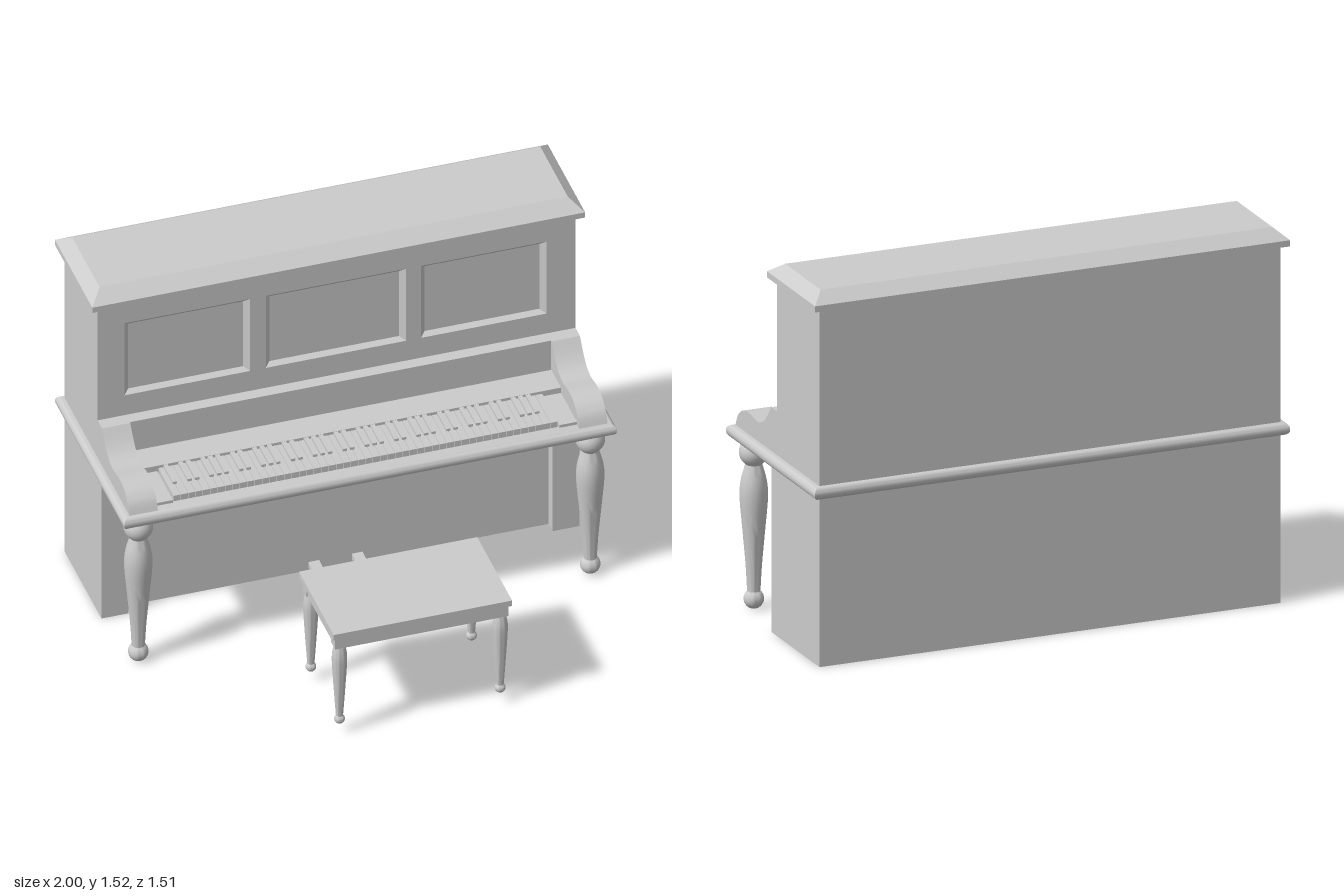
import * as THREE from 'three';
import { toCreasedNormals } from 'three/addons/utils/BufferGeometryUtils.js';

const grey = new THREE.MeshStandardMaterial({ color: 0xcccccc });

function add(parent, name, geometry) {
  const mesh = new THREE.Mesh(geometry, grey);
  mesh.name = name;
  parent.add(mesh);
  return mesh;
}

// Box given by its limits on each axis
function block(parent, name, x0, x1, y0, y1, z0, z1) {
  const mesh = add(parent, name, new THREE.BoxGeometry(x1 - x0, y1 - y0, z1 - z0));
  mesh.position.set((x0 + x1) / 2, (y0 + y1) / 2, (z0 + z1) / 2);
  return mesh;
}

function rectPath(x0, x1, y0, y1, path = new THREE.Shape()) {
  path.moveTo(x0, y0).lineTo(x1, y0).lineTo(x1, y1).lineTo(x0, y1);
  return path;
}

// Joins rectangles [x0, x1, y0, y1, z]; the last is capped, the first optionally
function loft(rings, capStart) {
  const pos = [];
  const loops = rings.map(([x0, x1, y0, y1, z]) => [[x0, y0, z], [x1, y0, z], [x1, y1, z], [x0, y1, z]]);
  const quad = (a, b, c, d) => pos.push(...a, ...b, ...c, ...a, ...c, ...d);
  for (let i = 0; i + 1 < loops.length; i++) {
    for (let k = 0; k < 4; k++) {
      const n = (k + 1) % 4;
      quad(loops[i][k], loops[i][n], loops[i + 1][n], loops[i + 1][k]);
    }
  }
  quad(...loops[loops.length - 1]);
  if (capStart) quad(...[...loops[0]].reverse());
  const geo = new THREE.BufferGeometry();
  geo.setAttribute('position', new THREE.Float32BufferAttribute(pos, 3));
  geo.computeVertexNormals();
  return geo;
}

// Turned leg: ball foot, swelling shaft, optional ball at the top
function turnedLeg(footR, footY, shaft, ballR, ballY) {
  const pts = [];
  const ball = (r, cy, a0, a1) => {
    for (let i = 0; i <= 10; i++) {
      const a = a0 + (a1 - a0) * i / 10;
      pts.push(new THREE.Vector2(r * Math.cos(a), cy + r * Math.sin(a)));
    }
  };
  ball(footR, footY, -Math.PI / 2, 0.9);
  const curve = new THREE.SplineCurve(shaft.map(([r, y]) => new THREE.Vector2(r, y)));
  pts.push(...curve.getPoints(20));
  if (ballR) ball(ballR, ballY, -0.93, 1.1);
  return toCreasedNormals(new THREE.LatheGeometry(pts, 28), 0.7);
}

function buildCase(piano) {
  // Lower case with side pilasters
  block(piano, 'lowerCase', -0.97, 0.97, 0, 0.7, -0.73, -0.32);
  for (const s of [-1, 1]) {
    const pilaster = block(piano, 'pilaster', -0.055, 0.055, 0, 0.7, -0.32, -0.27);
    pilaster.position.x = s * 0.915;
  }

  // Key bed with a rounded edge that runs around the whole case
  const r = 0.024;
  const bed = new THREE.ExtrudeGeometry(rectPath(-1 + r, 1 - r, -0.105 + r, 0.757 - r), {
    depth: 0.004, bevelSize: r, bevelThickness: r, bevelSegments: 5,
  });
  bed.rotateX(-Math.PI / 2).translate(0, 0.685 + r, 0);
  add(piano, 'keyBed', toCreasedNormals(bed, 0.5));

  // Upper case faced by a board with three bevelled recesses
  block(piano, 'upperCase', -0.97, 0.97, 0.73, 1.456, -0.73, -0.345);
  const board = rectPath(-0.97, 0.97, 0.73, 1.456);
  for (const [x0, x1] of [[-0.86, -0.35], [-0.287, 0.283], [0.343, 0.853]]) {
    board.holes.push(rectPath(x0, x1, 1.01, 1.355, new THREE.Path()));
    add(piano, 'recessedPanel', loft([
      [x0, x1, 1.01, 1.355, -0.32],
      [x0 + 0.022, x1 - 0.022, 1.022, 1.333, -0.343],
    ]));
  }
  const boardGeo = new THREE.ExtrudeGeometry(board, { depth: 0.025, bevelEnabled: false });
  add(piano, 'upperFrontBoard', boardGeo.translate(0, 0, -0.345));

  // Lid with chamfered top edges
  const lid = loft([
    [-1, 1, 0.292, 0.757, 1.456],
    [-1, 1, 0.292, 0.757, 1.481],
    [-0.95, 0.95, 0.355, 0.697, 1.524],
  ], true);
  add(piano, 'lid', lid.rotateX(-Math.PI / 2));
}

function buildKeyboard(piano) {
  block(piano, 'fallBoard', -0.856, 0.856, 0.73, 0.915, -0.32, -0.27);
  block(piano, 'keyShelf', -0.856, 0.856, 0.73, 0.775, -0.27, -0.148);
  for (const s of [-1, 1]) {
    block(piano, 'keyEndBlock', -0.036, 0.036, 0.73, 0.75, -0.148, 0.05).position.x = s * 0.82;
  }

  // 52 white keys, with black keys after C, D, F, G and A, starting at A
  const keys = new THREE.Group();
  keys.name = 'keys';
  piano.add(keys);
  const pitch = 0.03, start = -0.78;
  for (let i = 0; i < 52; i++) {
    const x = start + i * pitch;
    block(keys, 'whiteKey', x + 0.001, x + pitch - 0.001, 0.735, 0.763, -0.148, 0.042);
    if (i < 51 && [0, 1, 3, 4, 5].includes((i + 5) % 7)) {
      const c = x + pitch;
      block(keys, 'blackKey', c - 0.009, c + 0.009, 0.75, 0.774, -0.148, -0.03);
    }
  }

  // Curved cheeks at both ends of the keyboard
  const cheek = new THREE.Shape();
  cheek.moveTo(-0.32, 0.73).lineTo(0.083, 0.73);
  cheek.splineThru([[0.057, 0.782], [0.01, 0.816], [-0.05, 0.826], [-0.125, 0.815],
    [-0.175, 0.826], [-0.22, 0.86], [-0.265, 0.915]].map(([z, y]) => new THREE.Vector2(z, y)));
  cheek.lineTo(-0.32, 0.915);
  const geo = toCreasedNormals(new THREE.ExtrudeGeometry(cheek, {
    depth: 0.115, bevelEnabled: false, curveSegments: 5,
  }).rotateY(-Math.PI / 2), 0.5);
  add(piano, 'leftCheek', geo).position.x = 0.97;
  add(piano, 'rightCheek', geo).position.x = -0.855;
}

function buildLegsAndPedals(piano) {
  const leg = turnedLeg(0.04, 0.04, [[0.026, 0.072], [0.032, 0.18], [0.046, 0.34],
    [0.055, 0.45], [0.051, 0.52], [0.033, 0.588]], 0.058, 0.638);
  for (const s of [-1, 1]) add(piano, 'frontLeg', leg).position.set(s * 0.917, 0, 0.025);

  // Pedals: broad tip, narrow stem, top rising toward the case
  const plan = new THREE.Shape();
  plan.moveTo(-0.03, 0.17).lineTo(0.03, 0.17).lineTo(0.038, 0.182).lineTo(0.036, 0.215)
    .lineTo(0.022, 0.25).lineTo(0.022, 0.33).lineTo(-0.022, 0.33).lineTo(-0.022, 0.25)
    .lineTo(-0.036, 0.215).lineTo(-0.038, 0.182);
  const pedal = new THREE.ExtrudeGeometry(plan, { depth: 0.013, bevelEnabled: false });
  pedal.rotateX(-Math.PI / 2).translate(0, 0.015, 0);
  const p = pedal.attributes.position;
  for (let i = 0; i < p.count; i++) {
    if (p.getY(i) > 0.02) p.setY(i, 0.028 - (p.getZ(i) + 0.17) * 0.08);
  }
  pedal.computeVertexNormals();
  for (const x of [-0.092, 0.084]) add(piano, 'pedal', pedal).position.x = x;
}

function buildBench() {
  const bench = new THREE.Group();
  bench.name = 'bench';
  block(bench, 'benchSeat', -0.362, 0.362, 0.474, 0.5, -0.217, 0.217);
  const leg = turnedLeg(0.021, 0.066, [[0.014, 0.083], [0.018, 0.14], [0.025, 0.25],
    [0.03, 0.345], [0.028, 0.385], [0.021, 0.421]]);
  for (const s of [-1, 1]) {
    block(bench, 'benchRail', -0.352, 0.352, 0.42, 0.474, -0.025, 0.025).position.z = s * 0.18;
    block(bench, 'benchSideRail', -0.02, 0.02, 0.42, 0.474, -0.157, 0.157).position.x = s * 0.326;
    for (const t of [-1, 1]) add(bench, 'benchLeg', leg).position.set(s * 0.326, 0, t * 0.178);
  }
  bench.position.z = 0.538;
  return bench;
}

export function createModel() {
  const model = new THREE.Group();
  const piano = new THREE.Group();
  piano.name = 'piano';
  buildCase(piano);
  buildKeyboard(piano);
  buildLegsAndPedals(piano);
  model.add(piano, buildBench());
  return model;
}
